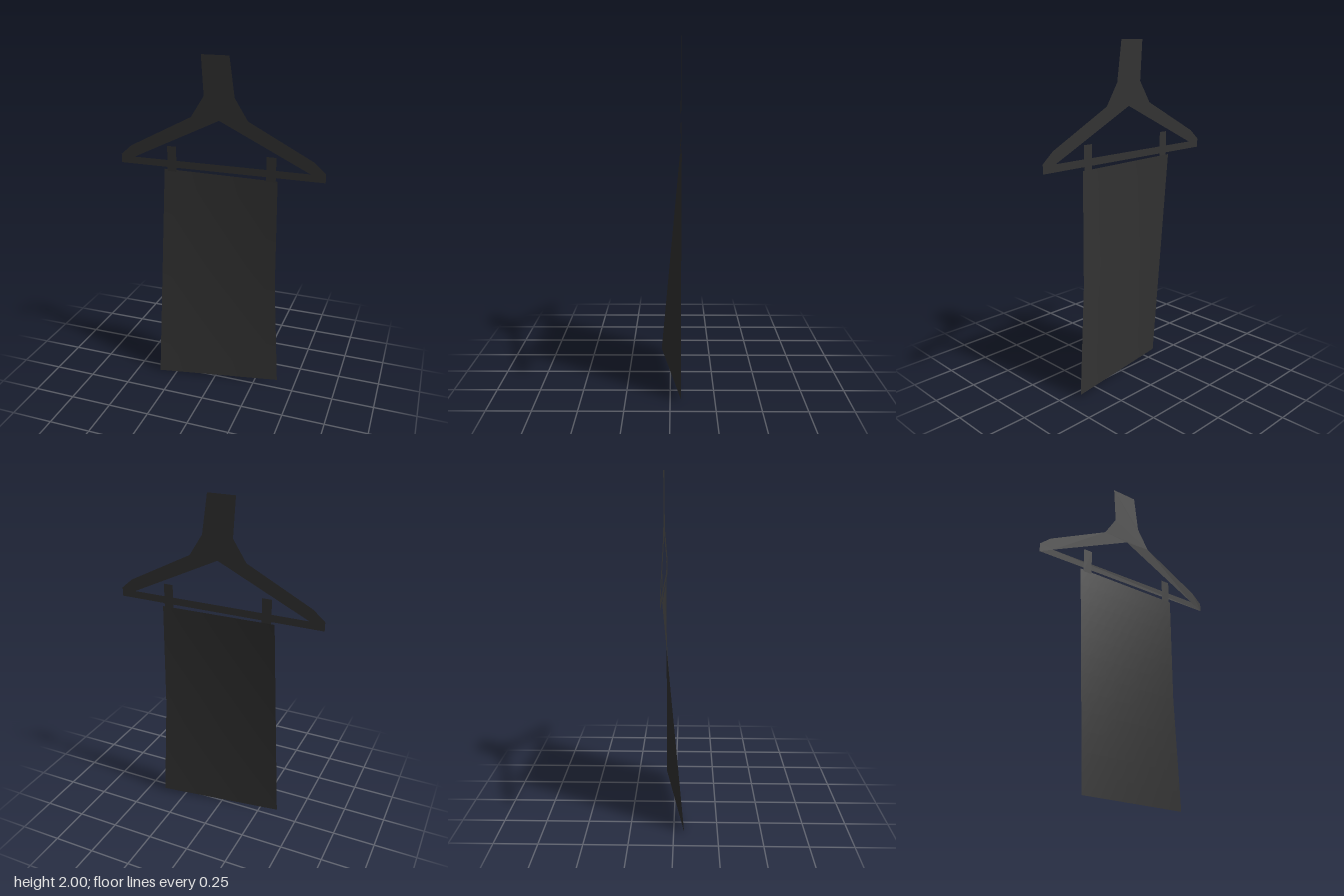
import * as THREE from 'three';

const BACK = -0.06; // plane of the hanger

export function createModel() {
  const group = new THREE.Group();
  const material = new THREE.MeshStandardMaterial({ color: 0x333333, side: THREE.DoubleSide });
  const toPoints = (list) => list.map(([x, y]) => new THREE.Vector2(x, y));

  const add = (name, geometry) => {
    const mesh = new THREE.Mesh(geometry, material);
    mesh.name = name;
    group.add(mesh);
    return mesh;
  };

  // Flat hanger: neck, shoulders and bar around a triangular opening
  const outline = new THREE.Shape(toPoints([
    [-0.615, 1.345], [0.615, 1.345], [0.615, 1.397], [0.548, 1.455],
    [0.168, 1.652], [0.09, 1.775], [0.058, 2], [-0.105, 2],
    [-0.09, 1.775], [-0.168, 1.652], [-0.548, 1.455], [-0.615, 1.397],
  ]));
  outline.holes.push(new THREE.Path(toPoints([[-0.53, 1.387], [0, 1.643], [0.53, 1.387]])));
  add('hanger', new THREE.ShapeGeometry(outline)).position.z = BACK;

  // Clips that hold the cloth to the bar
  for (const [name, x, top] of [['rightClip', -0.29, 1.472], ['leftClip', 0.308, 1.462]]) {
    const height = top - 1.32;
    add(name, new THREE.PlaneGeometry(0.056, height))
      .position.set(x, top - height / 2, BACK + 0.001);
  }

  // Hanging cloth: widens downwards, one lower corner swings forward
  const cloth = new THREE.PlaneGeometry(1, 1, 12, 12);
  const p = cloth.attributes.position;
  const lerp = THREE.MathUtils.lerp;
  for (let i = 0; i < p.count; i++) {
    const u = p.getX(i) + 0.5;
    const down = 0.5 - p.getY(i);
    const left = lerp(-0.338, -0.358, down);
    const right = 0.347 + 0.013 * down + 0.03 * Math.max(0, down - 0.5) * 2;
    const top = lerp(1.332, 1.325, u);
    const bottom = lerp(0, 0.015, u);
    p.setXYZ(i, lerp(left, right, u), lerp(top, bottom, down), BACK + 0.12 * down * (1 - u));
  }
  cloth.computeVertexNormals();
  add('cloth', cloth);

  return group;
}
